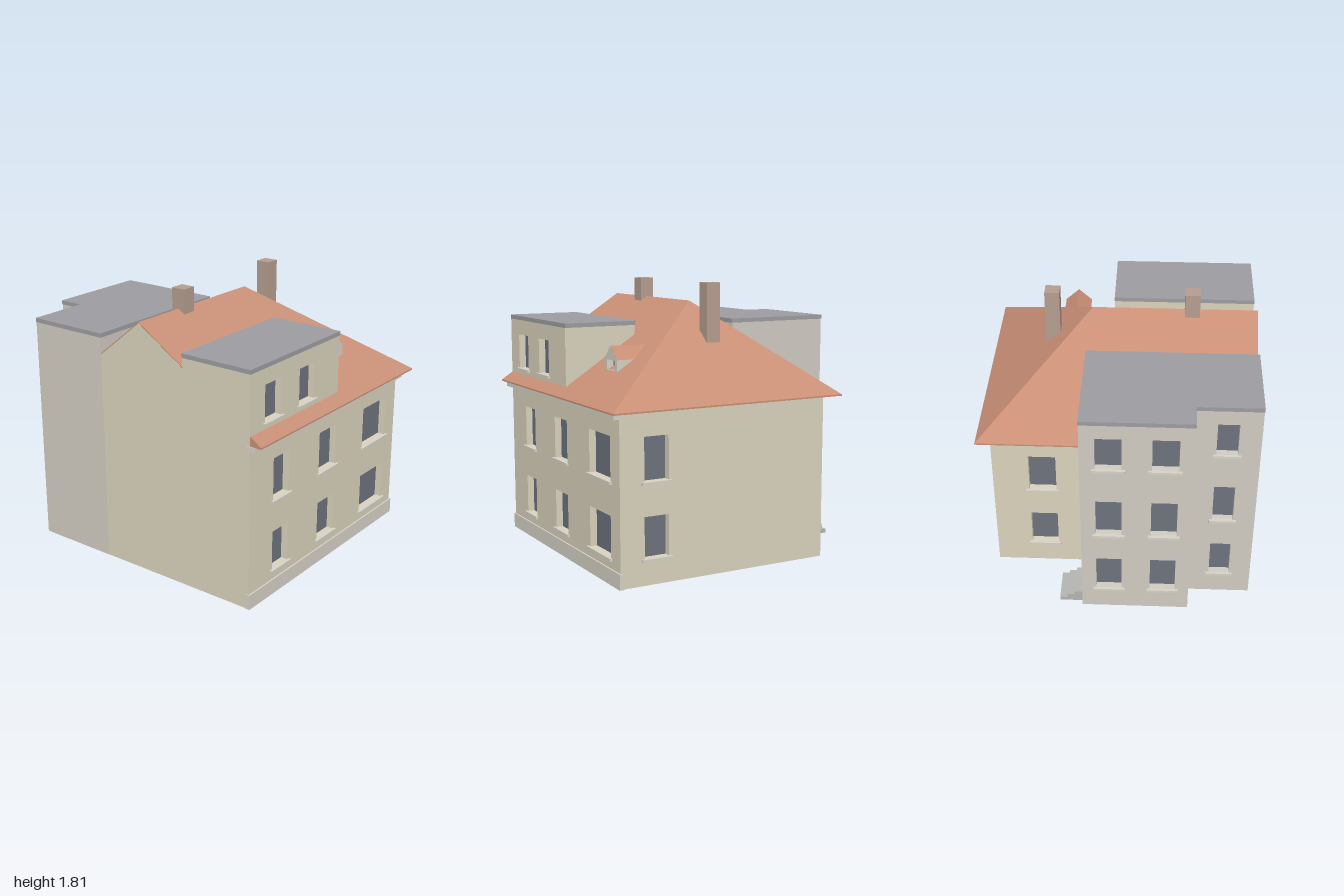
import * as THREE from 'three';

const mat = (color) => new THREE.MeshStandardMaterial({ color, flatShading: true });
const DEPTH = 0.05; // window recess

export function createModel() {
  const root = new THREE.Group();
  const wall = mat(0xd9d2bc), annexWall = mat(0xd0cbc2), trim = mat(0xd6d2c6), tile = mat(0xc98f76);
  const flat = mat(0x9d9da1), glass = mat(0x6c727d), brick = mat(0xb59d8f), wood = mat(0x8c755a);
  const stone = mat(0xb4b4b0);

  const add = (name, geo, m, parent = root) => {
    const mesh = new THREE.Mesh(geo, m);
    mesh.name = name;
    parent.add(mesh);
    return mesh;
  };
  const box = (name, m, x0, x1, y0, y1, z0, z1, parent) => {
    const g = new THREE.BoxGeometry(x1 - x0, y1 - y0, z1 - z0);
    g.translate((x0 + x1) / 2, (y0 + y1) / 2, (z0 + z1) / 2);
    return add(name, g, m, parent);
  };
  const shape = (pts) => new THREE.Shape(pts.map(([x, y]) => new THREE.Vector2(x, y)));
  const extrude = (s, depth) => new THREE.ExtrudeGeometry(s, { depth, bevelEnabled: false });
  const rect = (x0, x1, y0, y1) => [[x0, y0], [x1, y0], [x1, y1], [x0, y1]];

  // Upright prism from a floor plan of [x, z] corners
  const prism = (name, m, plan, y0, y1) => {
    const g = extrude(shape(plan.map(([x, z]) => [x, -z])), y1 - y0);
    g.rotateX(-Math.PI / 2).translate(0, y0, 0);
    return add(name, g, m);
  };

  // Wall slab facing local +z, with recessed openings [x0, x1, y0, y1, isDoor]
  const facade = (name, m, outline, openings, position, turn) => {
    const group = new THREE.Group();
    group.name = name;
    const s = shape(outline);
    for (const [a, b, c, d] of openings) s.holes.push(new THREE.Path(shape(rect(a, b, c, d)).getPoints()));
    add(name + 'Wall', extrude(s, DEPTH).translate(0, 0, -DEPTH), m, group);
    for (const [a, b, c, d, door] of openings) {
      box(door ? 'door' : 'windowPane', door ? wood : glass, a, b, c, d, -DEPTH - 0.01, -DEPTH + 0.004, group);
      if (!door) box('windowSill', trim, a - 0.02, b + 0.02, c - 0.018, c, -0.01, 0.018, group);
    }
    group.position.set(...position);
    group.rotation.y = turn;
    root.add(group);
  };
  // Grid of windows from column spans and floor spans
  const grid = (cols, floors) => cols.flatMap((c) => floors.map((f) => [...c, ...f]));
  const floors = [[0.168, 0.43], [0.645, 0.922], [1.185, 1.42]];
  const lower = floors.slice(0, 2), upper = floors.slice(2);

  // Main house
  prism('houseCore', wall, [[-0.9, -0.51], [0.77, -0.51], [0.77, 0.87], [-0.9, 0.87]], 0, 1.082);
  facade('front', wall, rect(-0.9, 0.82, 0, 1.082),
    grid([[-0.655, -0.487], [-0.145, 0.053], [0.395, 0.693]], lower), [0, 0, 0.92], 0);
  facade('side', wall, rect(-0.87, 0.51, 0, 1.082),
    grid([[-0.755, -0.588]], lower), [0.82, 0, 0], Math.PI / 2);
  facade('back', wall, rect(-0.82, -0.2, 0, 1.082),
    grid([[-0.58, -0.4]], lower), [0, 0, -0.56], Math.PI);
  box('plinth', trim, -0.905, 0.83, 0, 0.1, 0.9, 0.93);
  box('cornice', trim, -0.905, 0.83, 1.04, 1.08, 0.9, 0.962);

  // Main roof: gable at one end, hip at the other
  const E = 1.09, B = 1.08, x0 = -0.9, x1 = 0.905, zf = 1, zb = -0.645;
  const ridgeA = [x0, 1.68, 0.08], ridgeB = [0.18, 1.68, 0.08];
  const fl = [x0, E, zf], fr = [x1, E, zf], br = [x1, E, zb], bl = [x0, E, zb];
  const down = ([x, , z]) => [x, B, z];
  const faces = [[fl, fr, ridgeB, ridgeA], [br, bl, ridgeA, ridgeB], [fr, br, ridgeB], [bl, fl, ridgeA]];
  for (const [a, b] of [[fl, fr], [fr, br], [br, bl], [bl, fl]]) faces.push([down(a), down(b), b, a]);
  faces.push([down(bl), down(br), down(fr), down(fl)]);
  const verts = [];
  for (const f of faces)
    for (let i = 1; i < f.length - 1; i++) verts.push(...f[0], ...f[i], ...f[i + 1]);
  const roofGeo = new THREE.BufferGeometry();
  roofGeo.setAttribute('position', new THREE.Float32BufferAttribute(verts, 3));
  roofGeo.computeVertexNormals();
  add('mainRoof', roofGeo, tile);

  // Gable wall closing the roof end
  const gable = extrude(shape([[-0.92, 1.07], [0.645, 1.07], [0.645, 1.082], [-0.08, 1.672], [-0.92, 1.135]]), 0.02);
  gable.rotateY(Math.PI / 2).translate(-0.901, 0, 0);
  add('gableWall', gable, wall);

  // Wide flat-roofed dormer
  box('wideDormerCore', wall, -0.902, 0.05, 1, 1.525, 0.42, 0.87);
  facade('wideDormer', wall, rect(-0.902, 0.05, 1.083, 1.525),
    grid([[-0.755, -0.587], [-0.395, -0.227]], upper), [0, 0, 0.92], 0);
  box('wideDormerRoof', flat, -0.904, 0.053, 1.522, 1.55, 0.415, 0.922);

  // Small gabled dormer
  const pent = [[0.235, 1.255], [0.41, 1.255], [0.41, 1.34], [0.3225, 1.418], [0.235, 1.34]];
  add('smallDormerCore', extrude(shape(pent), 0.23).translate(0, 0, 0.45), wall);
  const front = shape(pent);
  front.holes.push(new THREE.Path(shape(rect(0.27, 0.375, 1.27, 1.332)).getPoints()));
  add('smallDormerFront', extrude(front, DEPTH).translate(0, 0, 0.68), trim);
  box('smallDormerPane', glass, 0.27, 0.375, 1.27, 1.332, 0.67, 0.685);
  add('smallDormerRoof', extrude(shape([[0.231, 1.339], [0.414, 1.339], [0.3225, 1.422]]), 0.279)
    .translate(0, 0, 0.45), tile);

  // Stepped rear annex
  prism('annexCore', annexWall, [[-0.902, -0.24], [-0.902, -0.76], [-0.49, -0.76], [-0.49, -0.93],
    [0.16, -0.93], [0.16, -0.24]], 0, 1.525);
  facade('annexWideBack', annexWall, rect(-0.21, 0.49, 0, 1.525),
    grid([[-0.115, 0.05], [0.235, 0.4]], floors), [0, 0, -0.98], Math.PI);
  facade('annexNarrowBack', annexWall, rect(0.49, 0.902, 0, 1.525),
    grid([[0.628, 0.762]], floors), [0, 0, -0.81], Math.PI);
  facade('annexSide', annexWall, rect(0.24, 0.93, 0, 1.525),
    [[0.74, 0.92, 0.08, 0.38, true]], [0.21, 0, 0], Math.PI / 2);
  prism('annexRoof', flat, [[-0.904, -0.238], [-0.904, -0.812], [-0.492, -0.812], [-0.492, -0.984],
    [0.212, -0.984], [0.212, -0.238]], 1.522, 1.55);

  // Door steps
  for (let i = 0; i < 3; i++)
    box('doorStep', stone, 0.205, 0.265 + 0.049 * i, 0.0267 * (2 - i), 0.0267 * (3 - i), -0.945, -0.72);

  // Chimneys
  box('ridgeChimney', brick, -0.52, -0.422, 1.645, 1.81, 0.03, 0.127);
  box('hipChimney', brick, 0.395, 0.492, 1.42, 1.81, 0.03, 0.127);
  return root;
}
